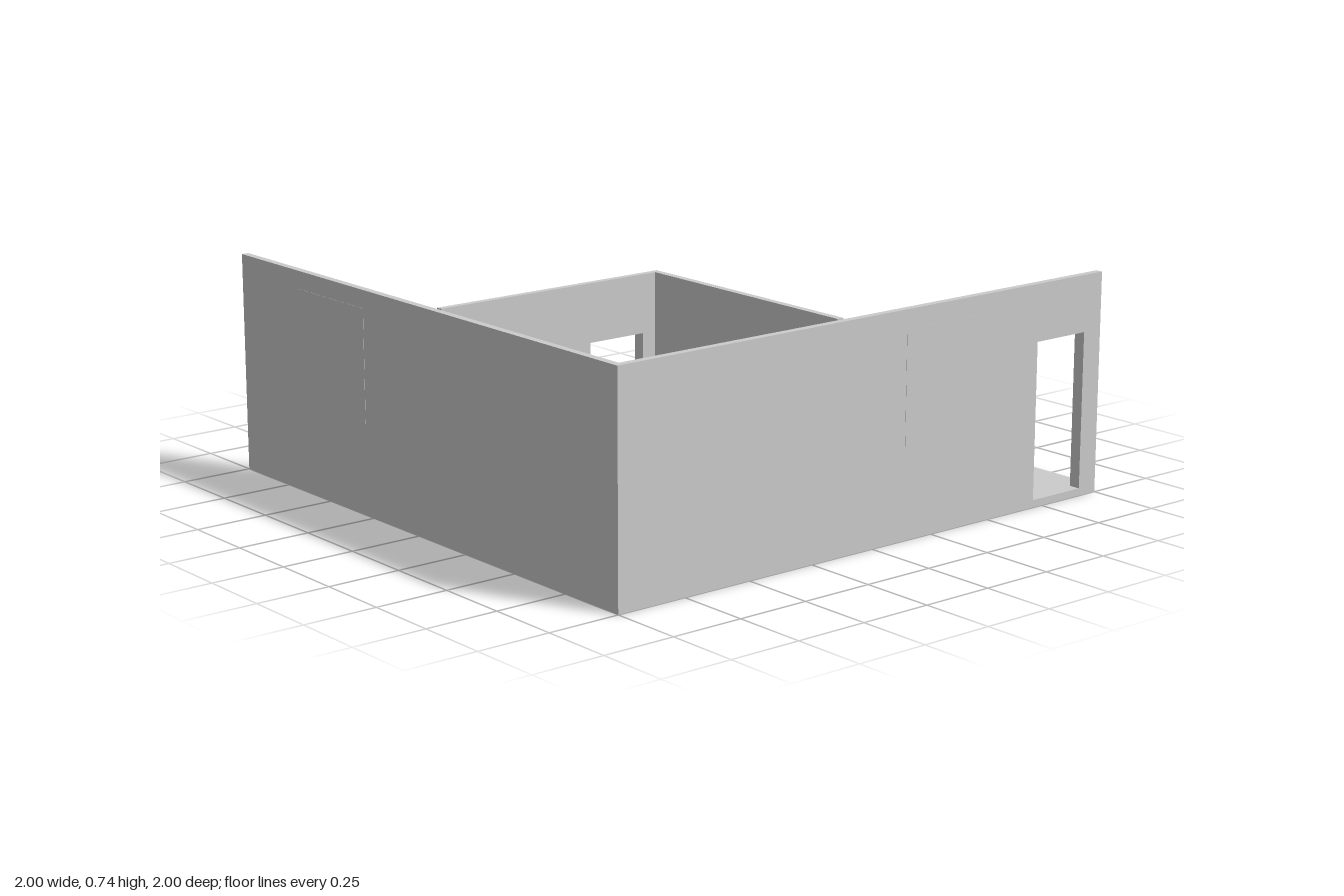
import * as THREE from 'three';

const FLOOR = 0.025, WALL = 0.74, THICK = 0.025;
const DOOR_W = 0.255, DOOR_TOP = 0.57, JAMB = 0.02;
const material = new THREE.MeshStandardMaterial({ color: 0xcccccc, flatShading: true });

// Box given by its minimum and maximum corners
function box(name, [x0, y0, z0], [x1, y1, z1]) {
  const geo = new THREE.BoxGeometry(x1 - x0, y1 - y0, z1 - z0);
  geo.translate((x0 + x1) / 2, (y0 + y1) / 2, (z0 + z1) / 2);
  const mesh = new THREE.Mesh(geo, material);
  mesh.name = name;
  return mesh;
}

// Upright slab from an outline in x and y, running from z0 to z1
function slab(name, points, z0, z1, hole) {
  const shape = new THREE.Shape(points.map(([x, y]) => new THREE.Vector2(x, y)));
  if (hole) shape.holes.push(new THREE.Path(hole.map(([x, y]) => new THREE.Vector2(x, y))));
  const geo = new THREE.ExtrudeGeometry(shape, { depth: z1 - z0, bevelEnabled: false });
  geo.translate(0, 0, z0);
  const mesh = new THREE.Mesh(geo, material);
  mesh.name = name;
  return mesh;
}

// Wall with a doorway cut up from its foot
function doorWall(name, x0, x1, y0, y1, doorX, z0, z1) {
  const d = doorX + DOOR_W;
  return slab(name, [
    [x0, y0], [doorX, y0], [doorX, DOOR_TOP], [d, DOOR_TOP],
    [d, y0], [x1, y0], [x1, y1], [x0, y1],
  ], z0, z1);
}

// Two jambs and a lintel lining a doorway
function doorFrame(name, x, z0, z1) {
  const a = x + JAMB, b = x + DOOR_W - JAMB, c = x + DOOR_W, h = DOOR_TOP - JAMB;
  return slab(name, [
    [x, FLOOR], [a, FLOOR], [a, h], [b, h],
    [b, FLOOR], [c, FLOOR], [c, DOOR_TOP], [x, DOOR_TOP],
  ], z0, z1);
}

// Closed window: thin rim with a deeper sill, standing just proud of the wall.
// Its outer face lies at z = 0 and the room is towards -z.
function windowUnit(name) {
  const group = new THREE.Group();
  group.name = name;
  const w = 0.186, y0 = 0.305, y1 = 0.68, rim = 0.004;
  group.add(slab('windowFrame',
    [[-w, y0], [w, y0], [w, y1], [-w, y1]], -0.036, 0.001,
    [[-w + rim, y0 + 0.02], [-w + rim, y1 - rim], [w - rim, y1 - rim], [w - rim, y0 + 0.02]]));
  group.add(box('windowPane', [-w + rim, y0 + 0.02, -0.028], [w - rim, y1 - rim, 0.001]));
  return group;
}

export function createModel() {
  const model = new THREE.Group();
  model.name = 'floorPlan';

  model.add(box('floor', [-1, 0, -1], [1, FLOOR, 1]));

  // Outer walls
  model.add(doorWall('frontWall', -1, 1, 0, WALL, 0.69, 1 - THICK, 1));
  model.add(box('sideWall', [-1, 0, -1], [-1 + THICK, WALL, 1 - THICK]));

  // Walls of the small room
  model.add(doorWall('roomBackWall', -1 + THICK, -0.11, FLOOR, WALL + 0.004, -0.42, 0.085, 0.107));
  model.add(box('roomSideWall', [-0.134, FLOOR, 0.107], [-0.11, WALL + 0.004, 1 - THICK]));

  // Door frames
  model.add(doorFrame('frontDoorFrame', 0.69, 0.96, 1));
  model.add(doorFrame('roomDoorFrame', -0.42, 0.066, 0.107));

  // Windows
  const frontWindow = windowUnit('frontWindow');
  frontWindow.position.set(0.319, 0, 1);
  const sideWindow = windowUnit('sideWindow');
  sideWindow.rotation.y = -Math.PI / 2;
  sideWindow.position.set(-1, 0, -0.471);
  model.add(frontWindow, sideWindow);

  return model;
}
